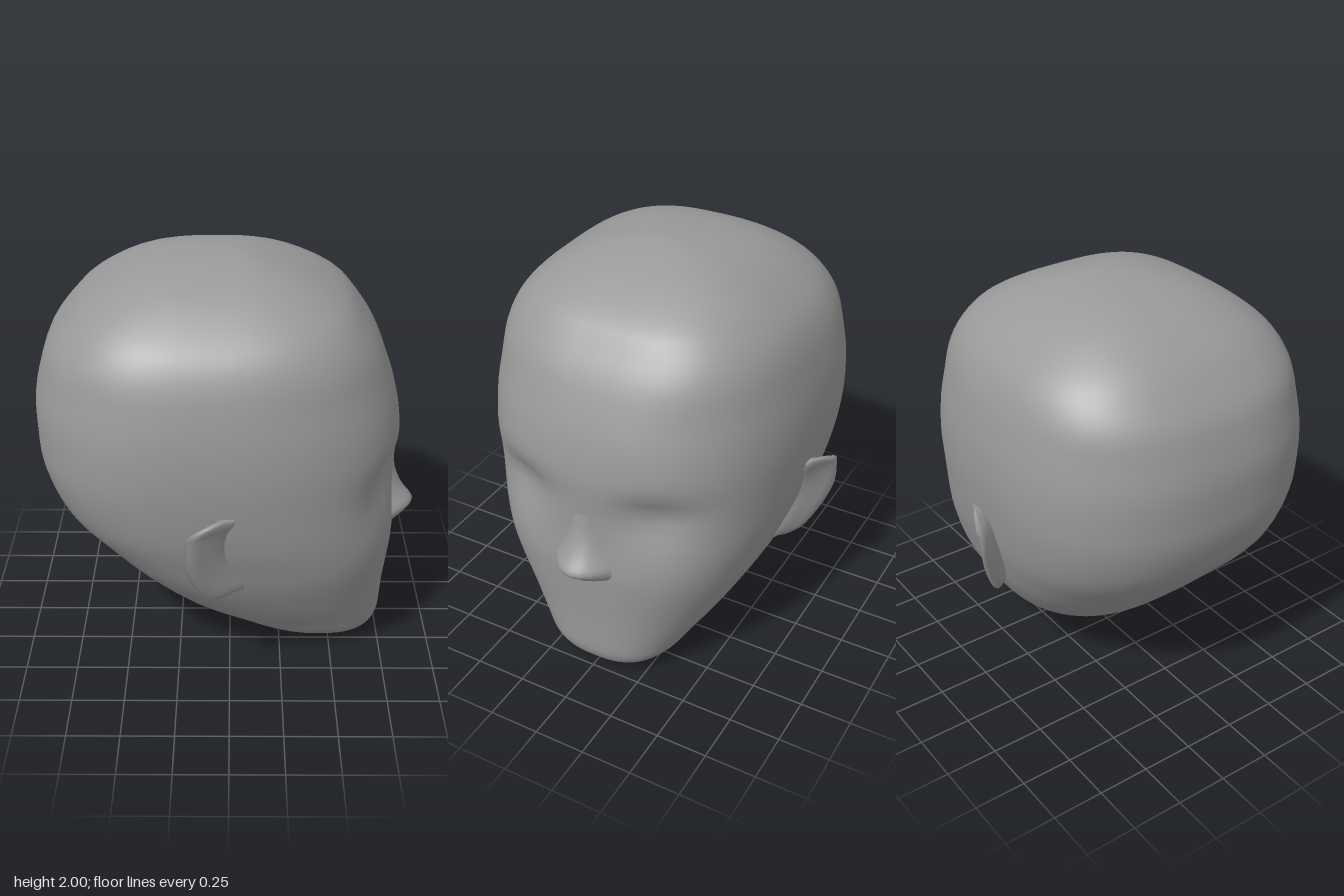
import * as THREE from 'three';

const material = new THREE.MeshStandardMaterial({ color: 0x999999, side: THREE.DoubleSide });

// Skin a stack of closed rings (counter-clockwise from above, bottom to top) and cap both ends.
function loft(rings, name) {
  const n = rings[0].length, pos = [], index = [];
  rings.forEach(r => r.forEach(p => pos.push(...p)));
  for (let i = 0; i < rings.length - 1; i++) {
    for (let j = 0; j < n; j++) {
      const k = (j + 1) % n;
      const a = i * n + j, b = i * n + k, c = b + n, d = a + n;
      index.push(a, b, c, a, c, d);
    }
  }
  [0, rings.length - 1].forEach((i, end) => {
    const centre = pos.length / 3;
    pos.push(...[0, 1, 2].map(c => rings[i].reduce((s, p) => s + p[c], 0) / n));
    for (let j = 0; j < n; j++) {
      const a = i * n + j, b = i * n + (j + 1) % n;
      index.push(...(end ? [centre, a, b] : [centre, b, a]));
    }
  });
  const g = new THREE.BufferGeometry();
  g.setAttribute('position', new THREE.Float32BufferAttribute(pos, 3));
  g.setIndex(index);
  g.computeVertexNormals();
  const mesh = new THREE.Mesh(g, material);
  mesh.name = name;
  return mesh;
}

const bell = (v, centre, width) => Math.exp(-(((v - centre) / width) ** 2));
const power = (v, e) => Math.sign(v) * Math.abs(v) ** e;

// Smooth rows between the given levels
function refine(levels, steps) {
  const rows = [];
  const at = i => levels[THREE.MathUtils.clamp(i, 0, levels.length - 1)];
  for (let i = 0; i < levels.length - 1; i++) {
    for (let s = 0; s < steps; s++) {
      const t = s / steps;
      rows.push(at(i).map((b, k) => {
        const a = at(i - 1)[k], c = at(i + 1)[k], d = at(i + 2)[k];
        return b + 0.5 * t * (c - a + t * (2 * a - 5 * b + 4 * c - d + t * (3 * (b - c) + d - a)));
      }));
    }
  }
  return [...rows, levels[levels.length - 1]];
}

// Skull levels: y, back x, front x, half width, x of the widest point
const LEVELS = [
  [0.00, 0.38, 0.60, 0.19, 0.50],
  [0.04, 0.20, 0.72, 0.27, 0.45],
  [0.10, 0.05, 0.76, 0.34, 0.40],
  [0.18, -0.12, 0.77, 0.395, 0.33],
  [0.31, -0.33, 0.775, 0.49, 0.20],
  [0.50, -0.53, 0.79, 0.60, 0.05],
  [0.65, -0.67, 0.80, 0.66, -0.04],
  [0.82, -0.82, 0.795, 0.715, -0.12],
  [1.02, -0.90, 0.81, 0.75, -0.17],
  [1.18, -0.915, 0.81, 0.763, -0.18],
  [1.34, -0.915, 0.785, 0.758, -0.18],
  [1.48, -0.885, 0.74, 0.737, -0.17],
  [1.61, -0.84, 0.685, 0.705, -0.15],
  [1.72, -0.755, 0.61, 0.65, -0.13],
  [1.81, -0.665, 0.53, 0.56, -0.11],
  [1.90, -0.52, 0.37, 0.43, -0.08],
  [1.96, -0.37, 0.21, 0.28, -0.05],
  [1.99, -0.19, 0.09, 0.14, -0.03],
  [2.00, -0.04, 0.02, 0.03, -0.01],
];

function skullRing([y, back, front, half, mid]) {
  // squarer outlines over the dome and across the cheeks
  const dome = 0.4 * THREE.MathUtils.smoothstep(y, 1.4, 1.85);
  const frontE = 2 / (2.6 + dome + 0.3 * bell(y, 0.65, 0.25));
  const backE = 2 / (2.35 + dome);
  return Array.from({ length: 72 }, (_, j) => {
    const t = (j / 72) * Math.PI * 2, c = Math.cos(t);
    const e = c > 0 ? frontE : backE;
    let x = mid + power(c, e) * (c > 0 ? front - mid : mid - back);
    const z = -power(Math.sin(t), e) * half;
    // eye sockets, sharper under the brow
    if (c > 0) x -= 0.075 * c * bell(Math.abs(z), 0.35, 0.18) * bell(y, 1.0, y > 1.0 ? 0.1 : 0.14);
    return [x, y, z];
  });
}

// Nose levels: y, front x, half width
function nose() {
  const levels = [
    [0.605, 0.80, 0.12], [0.625, 0.85, 0.16], [0.655, 0.89, 0.172], [0.69, 0.915, 0.165],
    [0.73, 0.885, 0.14], [0.79, 0.845, 0.11], [0.87, 0.815, 0.09], [0.95, 0.806, 0.085], [1.03, 0.79, 0.08],
  ];
  return loft(refine(levels, 2).map(([y, front, half]) => Array.from({ length: 24 }, (_, j) => {
    const t = (j / 24) * Math.PI * 2, c = Math.cos(t);
    return [0.765 + c * (c > 0 ? c * (front - 0.765) : 0.06), y, -Math.sin(t) * half];
  })), 'nose');
}

// Ear levels: y, root x, rim x, rim z, root z
function ear(side) {
  const levels = [
    [0.53, 0.05, -0.04, 0.66, 0.58], [0.56, 0.09, -0.09, 0.71, 0.60], [0.61, 0.08, -0.135, 0.745, 0.62],
    [0.70, 0.03, -0.175, 0.79, 0.65], [0.81, 0.0, -0.20, 0.825, 0.68], [0.92, 0.01, -0.195, 0.83, 0.71],
    [0.97, 0.03, -0.165, 0.83, 0.73], [1.005, 0.03, -0.07, 0.79, 0.74],
  ];
  return loft(refine(levels, 2).map(([y, rootX, rimX, rimZ, rootZ]) => {
    const w = rootX - rimX, d = rimZ - rootZ;
    const ring = [
      [rootX, y, rootZ],
      [rimX + w * 0.35, y, rootZ],
      [rimX + w * 0.2, y, rimZ - d * 0.35],
      [rimX, y, rimZ - 0.01],
      [rimX + w * 0.1, y, rimZ],
      [rimX + w * 0.35, y, rimZ - d * 0.22],
      [rimX + w * 0.6, y, rimZ - d * 0.52],
      [rimX + w * 0.85, y, rimZ - d * 0.72],
    ].map(p => [p[0], p[1], p[2] * side]);
    return side > 0 ? ring : ring.reverse();
  }), side > 0 ? 'rightEar' : 'leftEar');
}

export function createModel() {
  const head = new THREE.Group();
  head.name = 'head';
  head.add(loft(refine(LEVELS, 3).map(skullRing), 'skull'), nose(), ear(1), ear(-1));
  return head;
}
